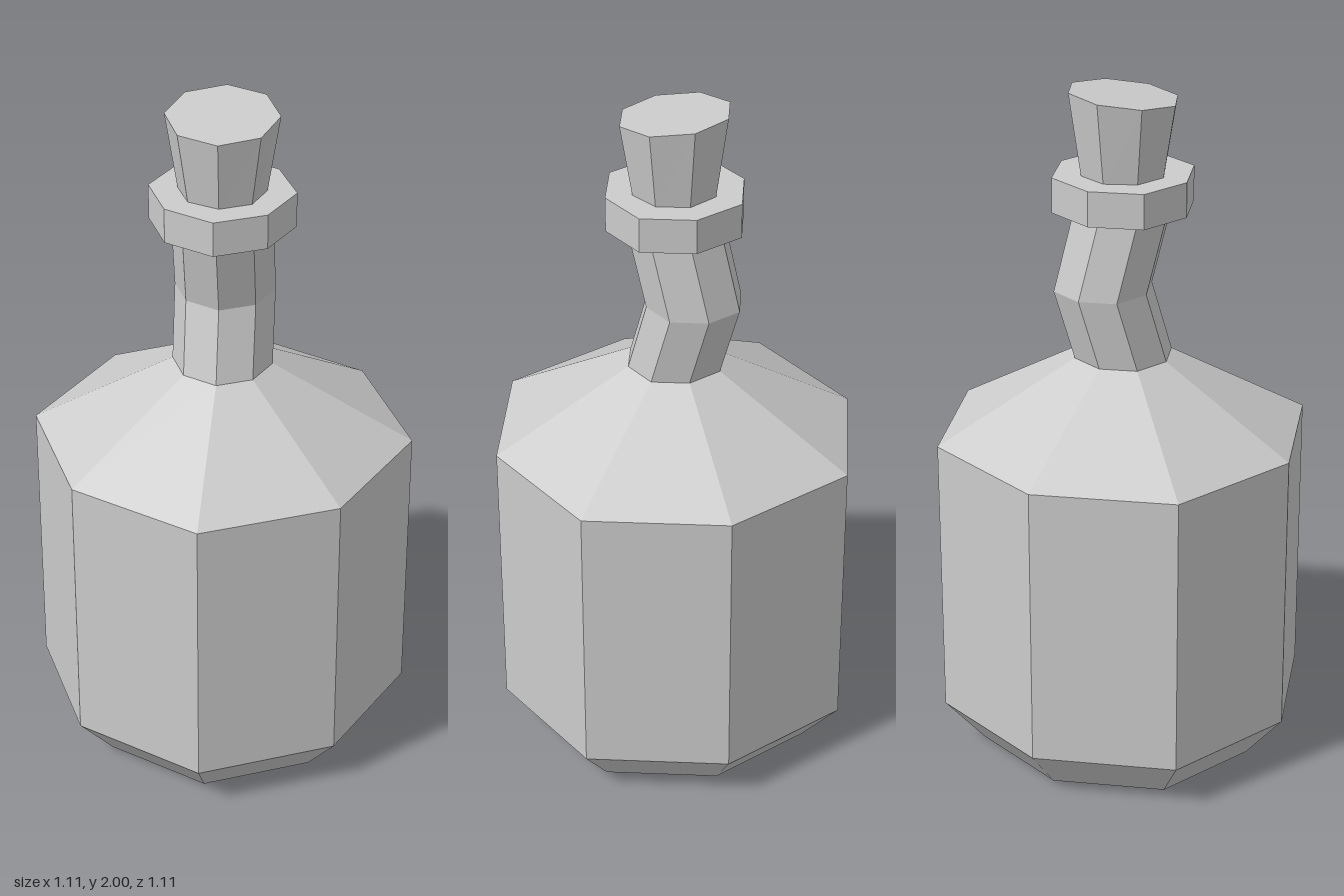
import * as THREE from 'three';

const SIDES = 8;

// Eight-sided ring, corners on the axes; the diagonal corners can be pulled in a little.
function ring(y, r, { z = 0, diagonal = 0.968, turn = 0, tilt = 0 } = {}) {
  return Array.from({ length: SIDES }, (_, i) => {
    const a = (i / SIDES) * Math.PI * 2 + turn;
    const d = i % 2 ? r * diagonal : r;
    const pz = d * Math.cos(a);
    return [d * Math.sin(a), y - pz * tilt, z + pz];
  });
}

// Skins a stack of rings from bottom to top, with optional flat ends.
function loft(name, rings, capBottom, capTop) {
  const pos = [];
  const tri = (a, b, c) => pos.push(...a, ...b, ...c);
  for (let k = 0; k < rings.length - 1; k++) {
    const lo = rings[k], hi = rings[k + 1];
    for (let i = 0; i < SIDES; i++) {
      const j = (i + 1) % SIDES;
      tri(lo[i], lo[j], hi[j]);
      tri(lo[i], hi[j], hi[i]);
    }
  }
  const first = rings[0], last = rings[rings.length - 1];
  for (let i = 1; i < SIDES - 1; i++) {
    if (capBottom) tri(first[0], first[i + 1], first[i]);
    if (capTop) tri(last[0], last[i], last[i + 1]);
  }
  const geometry = new THREE.BufferGeometry();
  geometry.setAttribute('position', new THREE.Float32BufferAttribute(pos, 3));
  geometry.computeVertexNormals();
  const material = new THREE.MeshStandardMaterial({ color: 0xcccccc, flatShading: true });
  const mesh = new THREE.Mesh(geometry, material);
  mesh.name = name;
  return mesh;
}

export function createModel() {
  const bottle = new THREE.Group();
  bottle.name = 'bottle';

  // Body with bevelled foot and sloping shoulder
  bottle.add(loft('body', [
    ring(0, 0.435), ring(0.137, 0.554), ring(0.98, 0.554), ring(1.21, 0.145),
  ], true, false));

  // Neck, bent towards the back halfway up
  bottle.add(loft('neck', [
    ring(1.21, 0.145), ring(1.42, 0.145, { z: -0.06 }), ring(1.655, 0.145),
  ], false, false));

  // Collar around the mouth
  bottle.add(loft('collar', [ring(1.655, 0.208), ring(1.758, 0.208)], true, true));

  // Flared cork, slightly turned, with a slanted top
  const turn = 0.045;
  bottle.add(loft('cork', [
    ring(1.74, 0.122, { diagonal: 1, turn }),
    ring(1.982, 0.16, { diagonal: 1, turn, tilt: 0.11 }),
  ], true, true));

  return bottle;
}
